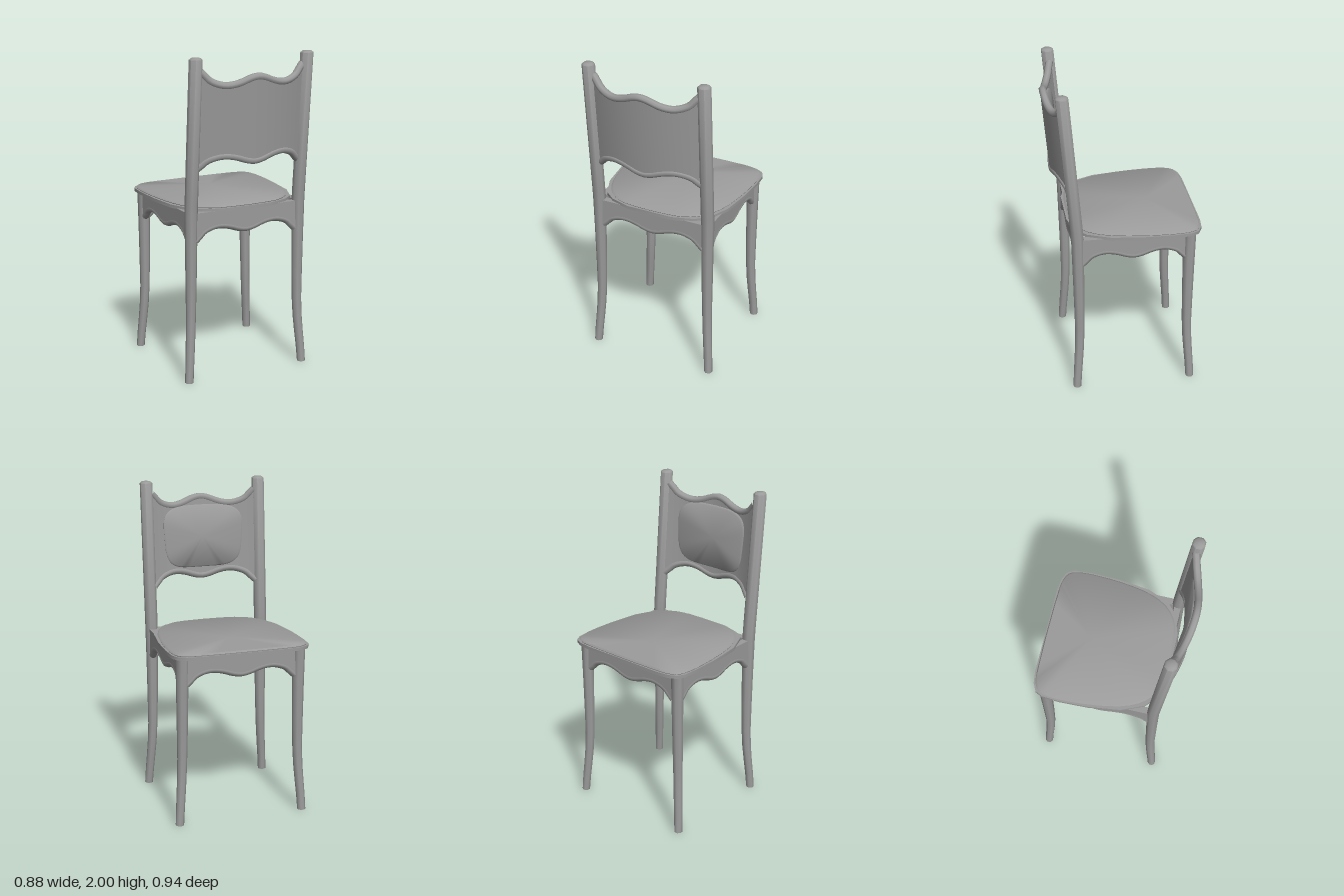
import * as THREE from 'three';
import { toCreasedNormals } from 'three/addons/utils/BufferGeometryUtils.js';

const material = new THREE.MeshStandardMaterial({ color: 0x9b9b9b });
const V = (x, y, z) => new THREE.Vector3(x, y, z);

// Skin a stack of closed rings and cap both ends
function loft(rings, crease = 0.9) {
  const n = rings[0].length, pos = [], idx = [];
  rings.forEach(r => r.forEach(p => pos.push(p.x, p.y, p.z)));
  for (let j = 0; j < rings.length - 1; j++) {
    for (let i = 0; i < n; i++) {
      const k = (i + 1) % n, a = j * n + i, b = j * n + k;
      idx.push(a, b, b + n, a, b + n, a + n);
    }
  }
  const cap = (j, flip) => {
    const c = rings[j].reduce((s, p) => s.add(p), V(0, 0, 0)).divideScalar(n);
    const m = pos.length / 3;
    pos.push(c.x, c.y, c.z);
    for (let i = 0; i < n; i++) {
      const a = j * n + i, b = j * n + (i + 1) % n;
      flip ? idx.push(m, b, a) : idx.push(m, a, b);
    }
  };
  cap(0, true);
  cap(rings.length - 1, false);
  const g = new THREE.BufferGeometry();
  g.setAttribute('position', new THREE.Float32BufferAttribute(pos, 3));
  g.setIndex(idx);
  return toCreasedNormals(g, crease);
}

function add(parent, name, geometry) {
  const mesh = new THREE.Mesh(geometry, material);
  mesh.name = name;
  parent.add(mesh);
  return mesh;
}

// Eight-sided leg along stations [y, x, z, half width]
const CHAMFER = 0.42;
const OCTAGON = [[1, CHAMFER], [1, -CHAMFER], [CHAMFER, -1], [-CHAMFER, -1],
  [-1, -CHAMFER], [-1, CHAMFER], [-CHAMFER, 1], [CHAMFER, 1]];
const leg = (stations, side) => loft(stations.map(([y, x, z, h]) =>
  OCTAGON.map(([u, v]) => V(side * x + u * h, y, z + v * h))));

// Scalloped edge shared by the aprons and the backrest
const HALF = 0.335;
const WAVE = [[0, 0], [0.05, 0.008], [0.1, 0.025], [0.15, 0.037], [0.2, 0.04],
  [0.25, 0.03], [0.29, 0.012], [0.315, -0.012], [0.345, -0.04]];
const EDGE = [...WAVE.slice(1).reverse().map(([x, w]) => [-x, w]), ...WAVE];

// Panel with top and bottom edges lo/hi and a middle surface z(x, y)
const panel = (lo, hi, z, t) => loft(EDGE.map(([x, w]) => {
  const a = lo(w), b = hi(w);
  return [V(x, a, z(x, a) - t), V(x, b, z(x, b) - t), V(x, b, z(x, b) + t), V(x, a, z(x, a) + t)];
}), 0.6);
const bead = (edge, z, r) => new THREE.TubeGeometry(new THREE.CatmullRomCurve3(
  EDGE.map(([x, w]) => V(x, edge(w), z(x, edge(w))))), 32, r, 8);

// Closed outline from its right half, listed from back to front
const mirrorOutline = half => [...half, ...half.slice().reverse().map(([x, z]) => [-x, z])];

export function createModel() {
  const chair = new THREE.Group();
  chair.name = 'chair';

  // Legs, curving outwards at the feet; the rear pair runs up as leaning posts with eased tops
  const rear = [[0, 0.4, 0.322, 0.024], [0.1, 0.394, 0.316, 0.025], [0.2, 0.386, 0.308, 0.026],
    [0.3, 0.379, 0.301, 0.027], [0.42, 0.374, 0.297, 0.028], [0.6, 0.372, 0.297, 0.031],
    [0.85, 0.371, 0.299, 0.034], [1.06, 0.371, 0.301, 0.037], [1.12, 0.371, 0.305, 0.037],
    [1.99, 0.372, 0.376, 0.037], [2, 0.372, 0.377, 0.026]];
  const front = rear.slice(0, 8).map(([y, x, z, h]) => [y, x, -z - 0.086, h]);
  for (const side of [1, -1]) {
    const tag = side > 0 ? 'left' : 'right';
    add(chair, tag + 'BackPost', leg(rear, side));
    add(chair, tag + 'FrontLeg', leg(front, side));
  }

  // Four scalloped aprons with a rounded lower edge
  const flat = () => 0;
  const low = w => 0.932 + w;
  const apronPanel = panel(low, () => 1.065, flat, 0.021);
  const apronBead = bead(low, flat, 0.024);
  const aprons = [['frontApron', 0, -0.387, 0], ['backApron', 0, 0.3, 0],
    ['leftApron', 0.371, -0.045, Math.PI / 2], ['rightApron', -0.371, -0.045, Math.PI / 2]];
  for (const [name, x, z, turn] of aprons) {
    const apron = new THREE.Group();
    apron.name = name;
    add(apron, 'apronPanel', apronPanel);
    add(apron, 'apronEdge', apronBead);
    apron.position.set(x, 0, z);
    apron.rotation.y = turn;
    if (turn) apron.scale.x = 0.93;
    chair.add(apron);
  }

  // Seat board
  const board = mirrorOutline([[0.15, 0.34], [0.28, 0.3], [0.35, 0.24], [0.41, 0.1], [0.435, -0.1],
    [0.44, -0.28], [0.433, -0.39], [0.41, -0.435], [0.36, -0.46], [0.28, -0.47]]);
  const boardRing = y => board.map(([x, z]) => V(x, y, z));
  add(chair, 'seatBoard', loft([boardRing(1.06), boardRing(1.08)]));

  // Seat cushion, rolled at the rim and rising softly to a point ahead of the middle
  const cushion = new THREE.CatmullRomCurve3(mirrorOutline([[0.12, 0.325], [0.23, 0.303], [0.32, 0.235],
    [0.38, 0.12], [0.415, -0.05], [0.43, -0.25], [0.425, -0.36], [0.405, -0.42], [0.35, -0.45],
    [0.25, -0.46]]).map(([x, z]) => V(x, 0, z)), true).getPoints(48).slice(0, -1);
  const seatRings = [[0.99, 1.075], [1, 1.084], [0.975, 1.094], [0.02, 1.104]];
  add(chair, 'seatCushion', loft(seatRings.map(([s, y]) =>
    cushion.map(p => V(p.x * s, y, -0.18 + (p.z + 0.18) * s)))));

  // Backrest bowed to the rear and leaning with the posts
  const bow = (x, y) => 0.3 + 0.083 * (y - 1.06) + 0.077 * (1 - (x / HALF) ** 2);
  const top = w => 1.878 - 1.15 * w, bottom = w => 1.372 + w;
  add(chair, 'backrestPanel', panel(bottom, top, bow, 0.016));
  add(chair, 'backrestTopEdge', bead(top, bow, 0.023));
  add(chair, 'backrestBottomEdge', bead(bottom, bow, 0.023));

  // Back cushion on the seat side of the panel, a little wider at the top
  const padRings = [[1, 0.005], [1, 0.019], [0.96, 0.028], [0.02, 0.04]];
  const soft = v => Math.sign(v) * Math.abs(v) ** 0.5;
  add(chair, 'backCushion', loft(padRings.map(([s, out]) => Array.from({ length: 48 }, (_, i) => {
    const a = i / 48 * Math.PI * 2, v = -soft(Math.sin(a));
    const x = 0.26 * s * soft(Math.cos(a)) * (1 + 0.05 * v), y = 1.628 + 0.2 * s * v;
    return V(x, y, bow(x, y) - out);
  }))));

  return chair;
}
